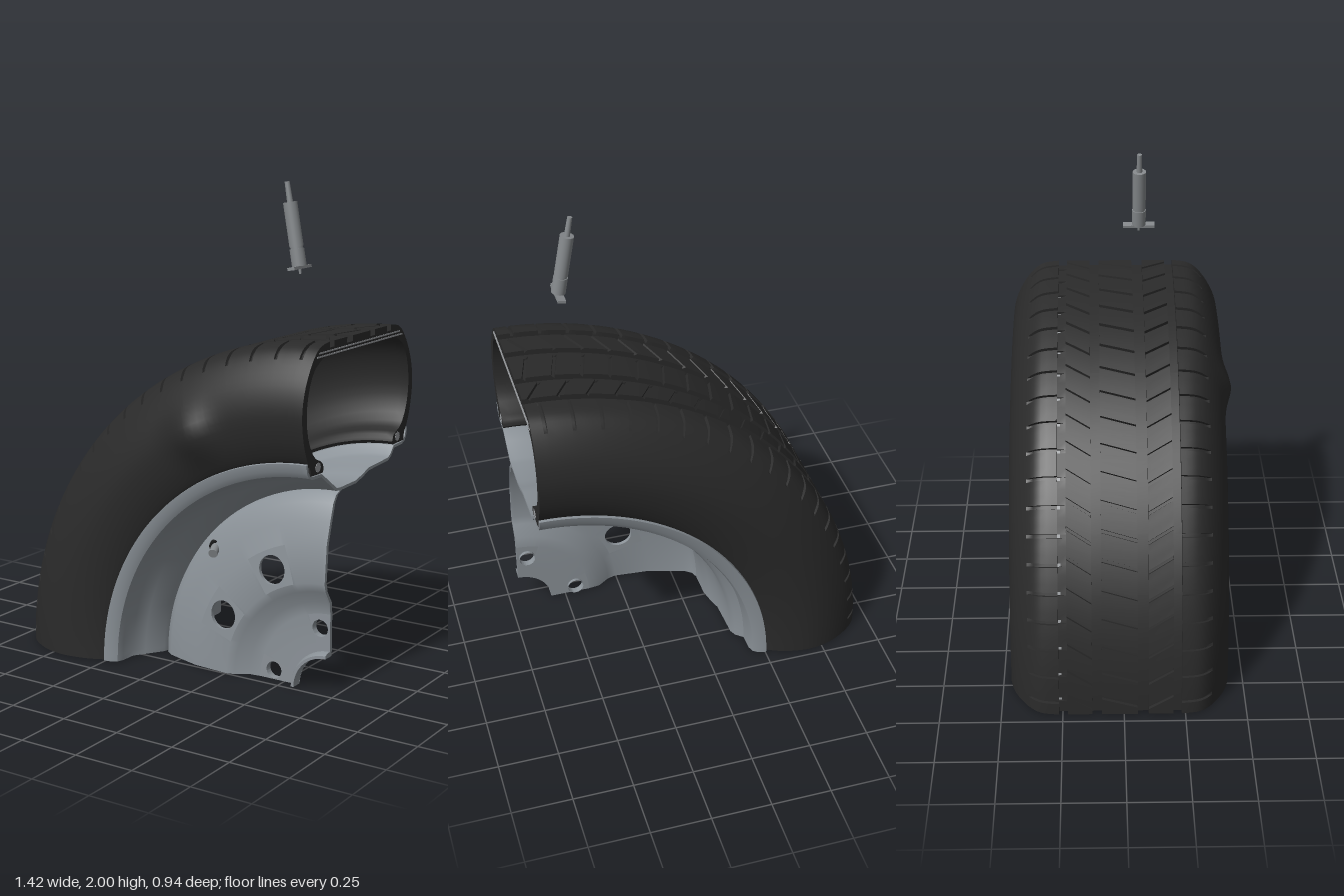
import * as THREE from 'three';
import { toCreasedNormals } from 'three/addons/utils/BufferGeometryUtils.js';

const CX = 0.71, MID = -0.015, DEG = Math.PI / 180;
const mat = (name, color, side = THREE.FrontSide) => {
  const m = new THREE.MeshStandardMaterial({ color, side });
  m.name = name;
  return m;
};
const rubber = mat('tyre rubber', 0x2a2a2a, THREE.DoubleSide);
const steel = mat('rim steel', 0x8b9298, THREE.DoubleSide);
const cord = mat('cut cord', 0x9a9da0, THREE.DoubleSide);
const black = mat('valve rubber', 0x1e1e1e);
const metal = mat('tool metal', 0x85898c);

const polar = (r, a, z) => [CX + r * Math.cos(a), r * Math.sin(a), z];
const mirrorZ = ([z, r]) => [2 * MID - z, r];

function toGeometry(pos) {
  const g = new THREE.BufferGeometry();
  g.setAttribute('position', new THREE.Float32BufferAttribute(pos, 3));
  return toCreasedNormals(g, 0.6);
}

// Adds a grid of quads; fn(i, j) gives each point
function addGrid(pos, ni, nj, fn) {
  for (let i = 0; i < ni; i++) for (let j = 0; j < nj; j++) {
    const a = fn(i, j), b = fn(i + 1, j), c = fn(i + 1, j + 1), d = fn(i, j + 1);
    pos.push(...a, ...b, ...c, ...a, ...c, ...d);
  }
}

// Sweeps a closed [z, r] profile over a list of angles and caps both cuts
function sweep(profile, angles, point) {
  const pos = [], n = profile.length, last = angles.length - 1;
  addGrid(pos, n, last, (i, j) => point(i % n, j));
  const faces = THREE.ShapeUtils.triangulateShape(profile.map(p => new THREE.Vector2(...p)), []);
  for (const [a, b, c] of faces) {
    pos.push(...point(a, 0), ...point(c, 0), ...point(b, 0));
    pos.push(...point(a, last), ...point(b, last), ...point(c, last));
  }
  return toGeometry(pos);
}

const arc = n => Array.from({ length: n + 1 }, (_, i) => (90 + 90 * i / n) * DEG);
const sweepPlain = (profile, angles = arc(60)) =>
  sweep(profile, angles, (i, j) => polar(profile[i][1], angles[j], profile[i][0]));

// Offsets an open line to make a thin closed profile
function thicken(line, t) {
  const inner = line.map((p, i) => {
    const a = line[Math.max(i - 1, 0)], b = line[Math.min(i + 1, line.length - 1)];
    const dz = b[0] - a[0], dr = b[1] - a[1], l = Math.hypot(dz, dr);
    return [p[0] - dr / l * t, p[1] + dz / l * t];
  });
  return [...line, ...inner.reverse()];
}

const smooth = (pts, n) =>
  new THREE.SplineCurve(pts.map(p => new THREE.Vector2(...p))).getPoints(n).map(p => [p.x, p.y]);

function makeTyre() {
  // Outer skin: sidewall, shoulder, then ribs between four grooves
  const side = smooth([[0.372, 0.915], [0.376, 0.95], [0.395, 0.975], [0.425, 1.05], [0.44, 1.15],
    [0.425, 1.24], [0.39, 1.315], [0.345, 1.375], [0.3, 1.405], [0.235, 1.415]], 27);
  const tread = [];
  for (const [a, b] of [[0.2, 0.1], [0.055, -0.09], [-0.13, -0.23]])
    tread.push([a + 0.035, 1.392], [a, 1.392], [a, 1.415], [b, 1.415], [b, 1.392]);
  tread.push([-0.265, 1.392]);
  tread[5][0] = 0.099; tread[10][0] = -0.091; tread[0][0] = 0.234;
  const outer = [...side, ...tread, ...side.map(mirrorZ).reverse()];
  // Inner liner and bead
  const half = smooth([[0.27, 0.925], [0.285, 0.955], [0.345, 0.985], [0.39, 1.06], [0.405, 1.15],
    [0.392, 1.24], [0.35, 1.32], [0.28, 1.36]], 16);
  half.unshift([0.28, 0.912]);
  const profile = [...outer, ...half.map(mirrorZ), ...half.reverse()];

  // Angular stations, with narrow steps at each cross groove
  const stations = [[0, 0]];
  for (let k = 0; k < 19; k++)
    for (const [d, cut] of [[0, 0], [0.06, 1], [0.6, 1], [0.66, 0], [2, 0], [3.3, 0]])
      if (2 + 4.737 * k + d < 89.8) stations.push([2 + 4.737 * k + d, cut]);
  stations.push([90, 0]);

  const bulge = polar(1.14, 116 * DEG, 0);
  const point = (i, j) => {
    let [z, r] = profile[i], a = stations[j][0] * DEG;
    const edge = j === 0 || j === stations.length - 1;
    if (i < outer.length && r > 1.37) {
      const rib = r > 1.4 && z < 0.21 && z > -0.24;
      const shoulder = Math.abs(z - MID) > 0.249;
      if (rib && !edge) {
        if (z > 0.09) a -= 0.42 * (z - 0.15);
        else if (z < -0.12) a += 0.45 * (z + 0.18);
        else a += 0.2 * (z + 0.018);
      }
      if ((rib || shoulder) && stations[j][1]) r -= 0.014;
    }
    a = Math.min(Math.max(a, 0), Math.PI / 2) + Math.PI / 2;
    const p = polar(r, a, z);
    // Swelling on the front sidewall
    if (i < outer.length && z > 0.3)
      p[2] += 0.033 * Math.exp(-((p[0] - bulge[0]) ** 2 + (p[1] - bulge[1]) ** 2) / 0.0085);
    return p;
  };
  return sweep(profile, stations, point);
}

// Wheel disc: radius and depth steps; linear inside each band
const DISC = [[0.145, 0.2], [0.2, 0.2], [0.32, 0.2], [0.37, 0.206], [0.42, 0.24], [0.455, 0.25],
  [0.615, 0.237], [0.7, 0.212], [0.77, 0.19], [0.8, 0.168], [0.818, 0.125]];
function discZ(r) {
  let k = 1;
  while (k < DISC.length - 1 && r > DISC[k][0]) k++;
  const [r0, z0] = DISC[k - 1], [r1, z1] = DISC[k];
  return z0 + (z1 - z0) * (r - r0) / (r1 - r0);
}
// Holes: band, cell start angle, centre radius, centre angle, hole radius, wall depth
const HOLES = [[1, 90, 0.26, 100, 0.035, 0.03], [1, 162, 0.26, 171.3, 0.035, 0.03],
  [5, 108, 0.534, 117.3, 0.06, 0.016], [5, 144, 0.534, 152.7, 0.06, 0.016]];

function makeDisc() {
  const pos = [], T = 0.016;
  const at = (x, y, dz) => [x, y, discZ(Math.hypot(x - CX, y)) - dz];
  for (const dz of [0, T]) {
    const flip = dz > 0;
    const grid = (ni, nj, fn) => addGrid(pos, ni, nj, flip ? (i, j) => fn(ni - i, j) : fn);
    for (let b = 0; b < DISC.length - 1; b++) {
      const [r0, z0] = DISC[b], [r1, z1] = DISC[b + 1];
      for (let cell = 90; cell < 180; cell += 18) {
        const hole = HOLES.find(h => h[0] === b && h[1] === cell);
        if (!hole) {
          grid(1, 12, (i, j) => polar(i ? r1 : r0, (cell + 1.5 * j) * DEG, (i ? z1 : z0) - dz));
          continue;
        }
        // Ring of quads from the round hole out to the cell border
        const [, , hr, ha, rad, depth] = hole, [hx, hy] = polar(hr, ha * DEG, 0);
        const ring = (s, j) => {
          const q = Math.floor(j / 12) % 4, f = (j % 12) / 12;
          const u = [f, 1, 1 - f, 0][q], v = [0, f, 1, 1 - f][q];
          const [x, y] = polar(r0 + (r1 - r0) * v, (cell + 18 * u) * DEG, 0);
          const d = Math.hypot(x - hx, y - hy), k = rad / d + (1 - rad / d) * s;
          return [hx + (x - hx) * k, hy + (y - hy) * k];
        };
        grid(3, 48, (i, j) => at(...ring(i / 3, j), dz));
        if (!flip) addGrid(pos, 1, 48, (i, j) => at(...ring(0, j), i ? 0 : depth));
      }
    }
  }
  // Thickness along the two cuts
  for (const a of [90, 180])
    addGrid(pos, DISC.length - 1, 1, (i, j) => polar(DISC[i][0], a * DEG, DISC[i][1] - (a === 90 ? j : 1 - j) * T));
  return toGeometry(pos);
}

export function createModel() {
  const model = new THREE.Group();
  const add = (name, geometry, material, parent = model) => {
    const m = new THREE.Mesh(geometry, material);
    m.name = name;
    parent.add(m);
    return m;
  };
  const group = name => {
    const g = new THREE.Group();
    g.name = name;
    model.add(g);
    return g;
  };

  add('tyre', makeTyre(), rubber);

  // Steel belts and bead wires showing at the cuts
  const cutAngles = [arc(1)[0] - 0.0015, Math.PI + 0.0015];
  const circle = (z, r, s, n) => Array.from({ length: n }, (_, i) =>
    [z + s * Math.cos(i / n * 2 * Math.PI), r + s * Math.sin(i / n * 2 * Math.PI)]);
  const cutArc = [cutAngles[0], ...arc(60).slice(1, -1), cutAngles[1]];
  for (const [hw, r] of [[0.35, 1.366], [0.33, 1.38]])
    add('belt', sweepPlain([[MID + hw, r - 0.003], [MID + hw, r + 0.003], [MID - hw, r + 0.003], [MID - hw, r - 0.003]], cutArc), cord);
  for (const z of [0.315, 2 * MID - 0.315])
    add('beadWire', sweepPlain(circle(z, 0.94, 0.02, 8), cutArc), cord);

  // Rim barrel with flanges and drop centre
  add('rim', sweepPlain(thicken([[0.392, 0.966], [0.386, 0.935], [0.375, 0.918], [0.355, 0.911], [0.285, 0.908],
    [0.235, 0.875], [0.165, 0.828], [0.14, 0.824], [0.01, 0.826], [-0.04, 0.838], [-0.1, 0.857], [-0.265, 0.865],
    [-0.285, 0.875], [-0.315, 0.908], [-0.385, 0.911], [-0.405, 0.918], [-0.416, 0.935], [-0.422, 0.966]], 0.012)), steel);
  add('wheelDisc', makeDisc(), steel);
  add('hubLip', sweepPlain([[0.235, 0.145], [0.235, 0.157], [0.215, 0.166], [0.185, 0.166], [0.185, 0.145]]), steel);

  // Air valve through the disc
  const valve = group('valve'), va = 137 * DEG;
  valve.position.set(...polar(0.74, va, 0.2));
  valve.quaternion.setFromUnitVectors(new THREE.Vector3(0, 1, 0),
    new THREE.Vector3(Math.cos(va) * 0.45, Math.sin(va) * 0.45, -1).normalize());
  const tube = (name, parent, y0, y1, r0, r1, m) =>
    (add(name, new THREE.CylinderGeometry(r1, r0, y1 - y0, 24), m, parent).position.y = (y0 + y1) / 2);
  tube('valveCap', valve, -0.04, 0.012, 0.019, 0.019, metal);
  tube('valveBase', valve, 0.012, 0.04, 0.029, 0.029, black);
  tube('valveStem', valve, 0.04, 0.12, 0.022, 0.026, black);
  tube('valveEnd', valve, 0.12, 0.152, 0.029, 0.029, black);

  // Hand tool floating above the tread
  const tool = group('tool');
  tool.position.set(0.488, 1.642, 0.082);
  tool.rotation.z = 10.3 * DEG;
  tube('toolTip', tool, 0, 0.02, 0.005, 0.006, metal);
  tube('toolFoot', tool, 0.03, 0.1, 0.029, 0.029, metal);
  tube('toolCollar', tool, 0.1, 0.108, 0.025, 0.025, metal);
  tube('toolBody', tool, 0.108, 0.282, 0.028, 0.028, metal);
  tube('toolRod', tool, 0.282, 0.362, 0.012, 0.01, metal);
  add('toolCrossbar', new THREE.BoxGeometry(0.032, 0.012, 0.134), metal, tool).position.y = 0.025;

  return model;
}
